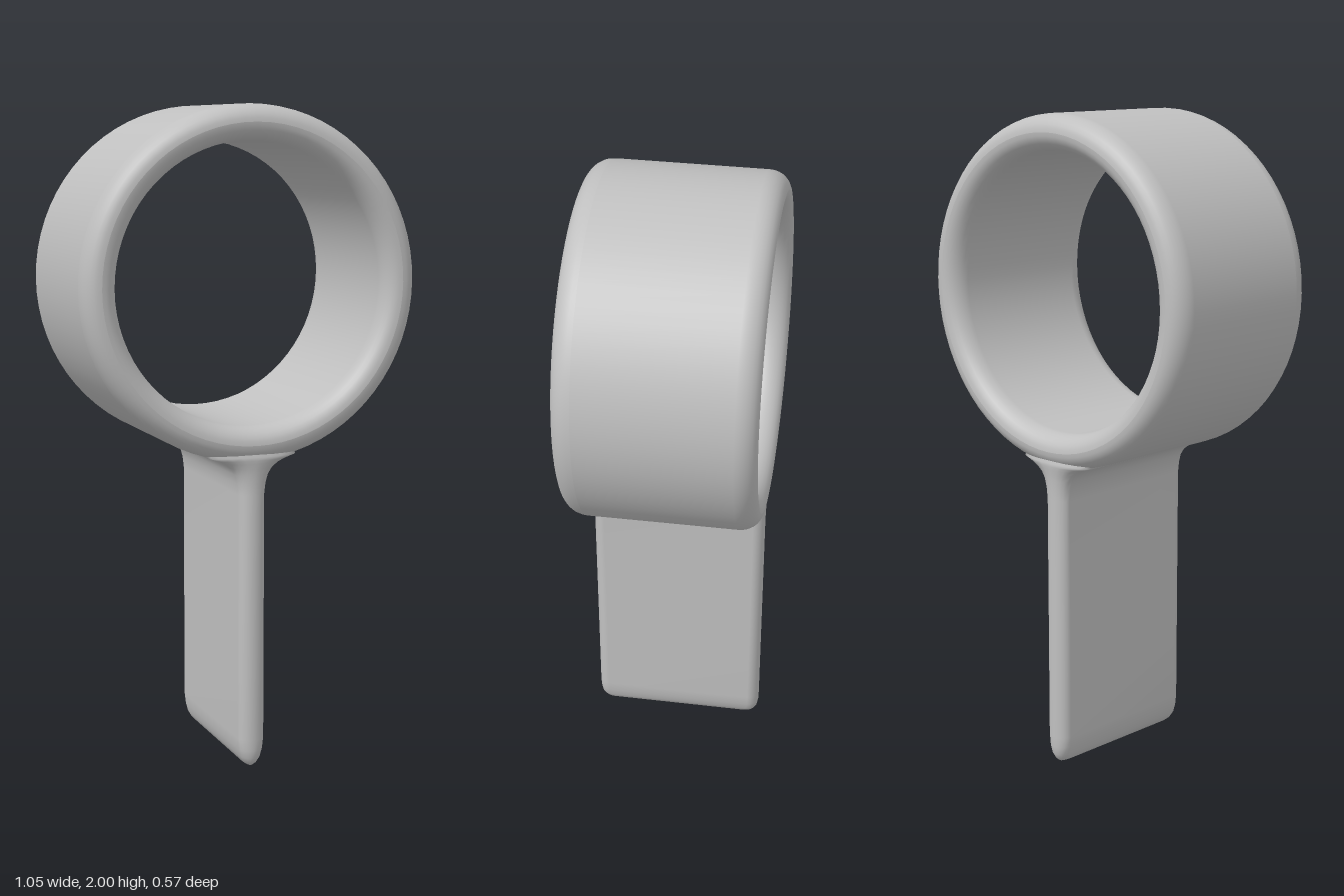
import * as THREE from 'three';

// Wide band: rounded wall profile turned around the z axis
function ringGeometry() {
  const mid = 0.472, halfWall = 0.053, halfDepth = 0.286, cornerZ = 0.062;
  const profile = [];
  const corner = (sz, start) => {
    for (let i = 0; i <= 7; i++) {
      const a = start + (i / 7) * Math.PI / 2;
      profile.push(new THREE.Vector2(
        mid + halfWall * Math.cos(a),
        sz * (halfDepth - cornerZ) + cornerZ * Math.sin(a)));
    }
  };
  corner(1, 0);
  corner(1, Math.PI / 2);
  corner(-1, Math.PI);
  corner(-1, Math.PI * 1.5);
  profile.push(profile[0].clone());
  return new THREE.LatheGeometry(profile, 72).rotateX(Math.PI / 2);
}

// Flat blade: round-ended cross-sections stacked upwards, flaring into the band
function bladeGeometry() {
  // [height, half width in x, half depth in z]
  const sections = [
    [0, 0, 0.23], [0.003, 0.012, 0.245], [0.012, 0.022, 0.257], [0.03, 0.031, 0.267],
    [0.055, 0.037, 0.271], [0.09, 0.041, 0.272], [0.3, 0.041, 0.272], [0.6, 0.041, 0.272],
    [0.85, 0.041, 0.272], [0.885, 0.045, 0.273], [0.912, 0.053, 0.274], [0.932, 0.066, 0.276],
    [0.947, 0.086, 0.278], [0.957, 0.108, 0.279], [0.967, 0.14, 0.279], [0.99, 0.14, 0.27],
  ];
  const half = 10, n = 2 * (half + 1), cornerZ = 0.035;
  const positions = [], index = [];
  for (const [y, w, d] of sections) {
    for (let k = 0; k < n; k++) {
      const front = k <= half;
      const a = Math.PI * (front ? k : k - 1) / half;
      const z = (front ? 1 : -1) * (d - cornerZ) + cornerZ * Math.sin(a);
      positions.push(w * Math.cos(a), y, z);
    }
  }
  for (let s = 0; s < sections.length - 1; s++) {
    for (let k = 0; k < n; k++) {
      const a = s * n + k, b = s * n + (k + 1) % n;
      index.push(a, a + n, b, b, a + n, b + n);
    }
  }
  const geometry = new THREE.BufferGeometry();
  geometry.setAttribute('position', new THREE.Float32BufferAttribute(positions, 3));
  geometry.setIndex(index);
  geometry.computeVertexNormals();
  return geometry;
}

export function createModel() {
  const grey = new THREE.MeshStandardMaterial({ color: 0xc0c0c0 });
  grey.name = 'light grey';
  const model = new THREE.Group();
  model.name = 'ringOnBlade';

  const ring = new THREE.Mesh(ringGeometry(), grey);
  ring.name = 'ring';
  ring.position.y = 1.475;

  const blade = new THREE.Mesh(bladeGeometry(), grey);
  blade.name = 'blade';

  model.add(ring, blade);
  return model;
}
